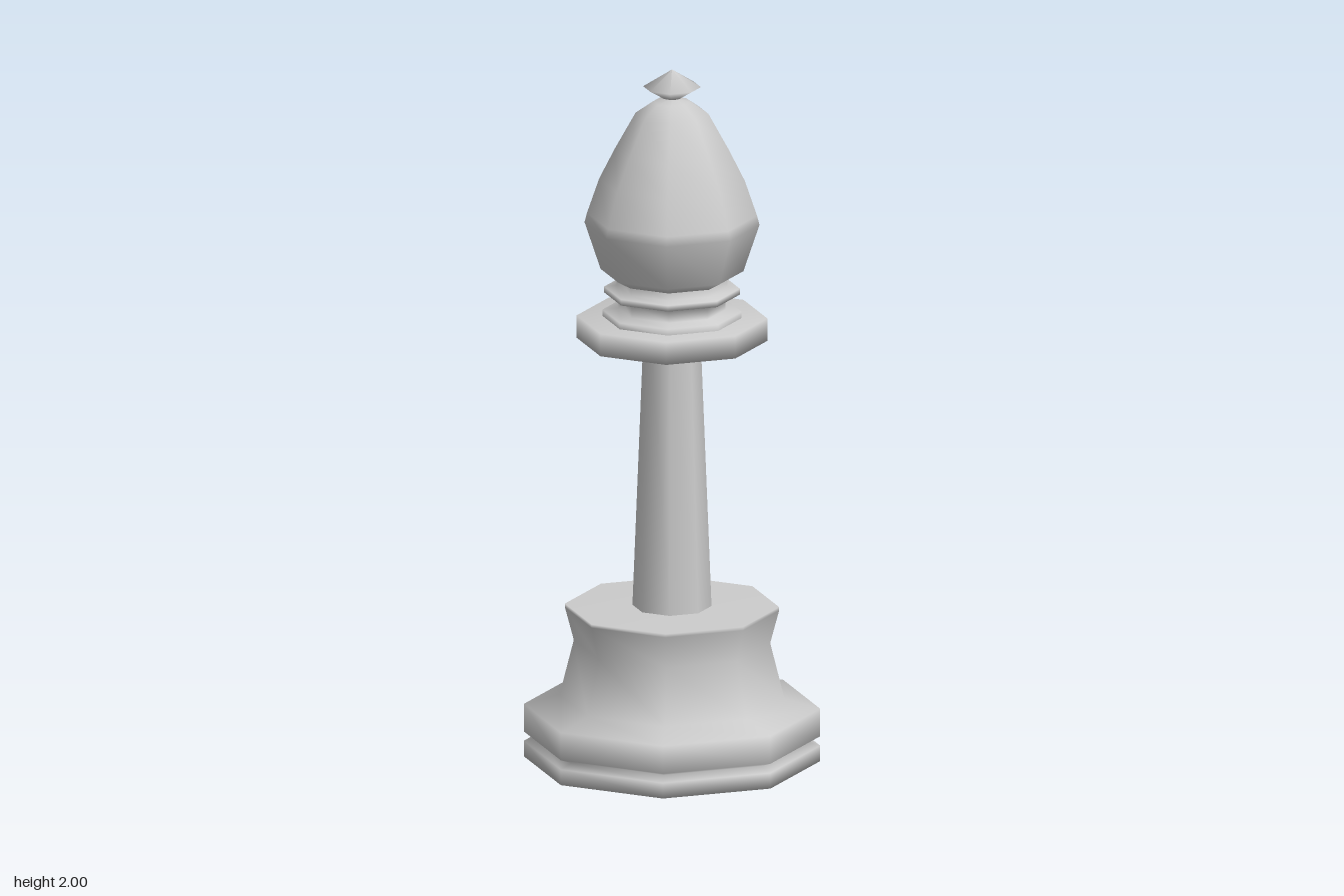
import * as THREE from 'three';

const SIDES = 8;
const material = new THREE.MeshStandardMaterial({ color: 0xcccccc });

// Turned part: [radius, height] pairs from bottom to top, smooth normals
function turned(name, profile) {
  const points = profile.map(([r, y]) => new THREE.Vector2(r, y));
  const mesh = new THREE.Mesh(new THREE.LatheGeometry(points, SIDES), material);
  mesh.name = name;
  return mesh;
}

export function createModel() {
  const group = new THREE.Group();
  group.name = 'chessBishop';

  group.add(
    // Grooved foot flaring into a waisted pedestal
    turned('base', [
      [0, 0], [0.415, 0], [0.415, 0.045], [0.375, 0.057], [0.415, 0.072],
      [0.415, 0.152], [0.315, 0.18], [0.275, 0.34], [0.3, 0.435], [0.3, 0.445], [0, 0.445],
    ]),
    // Tapered column
    turned('stem', [[0.111, 0.44], [0.08, 1.23]]),
    // Wide collar
    turned('collar', [[0, 1.217], [0.267, 1.217], [0.267, 1.282], [0, 1.282]]),
    // Stacked rings between collar and head
    turned('neckRings', [
      [0.195, 1.28], [0.195, 1.3], [0.15, 1.306], [0.15, 1.345], [0.19, 1.35],
      [0.19, 1.367], [0.155, 1.372], [0.155, 1.41],
    ]),
    // Egg-shaped head
    turned('head', [
      [0, 1.39], [0.155, 1.393], [0.2, 1.418], [0.245, 1.553], [0.238, 1.58],
      [0.204, 1.68], [0.16, 1.768], [0.102, 1.873], [0.053, 1.907], [0, 1.917],
    ]),
    // Pointed bead on top
    turned('finial', [[0, 1.91], [0.03, 1.92], [0.081, 1.95], [0, 2]]),
  );
  return group;
}
